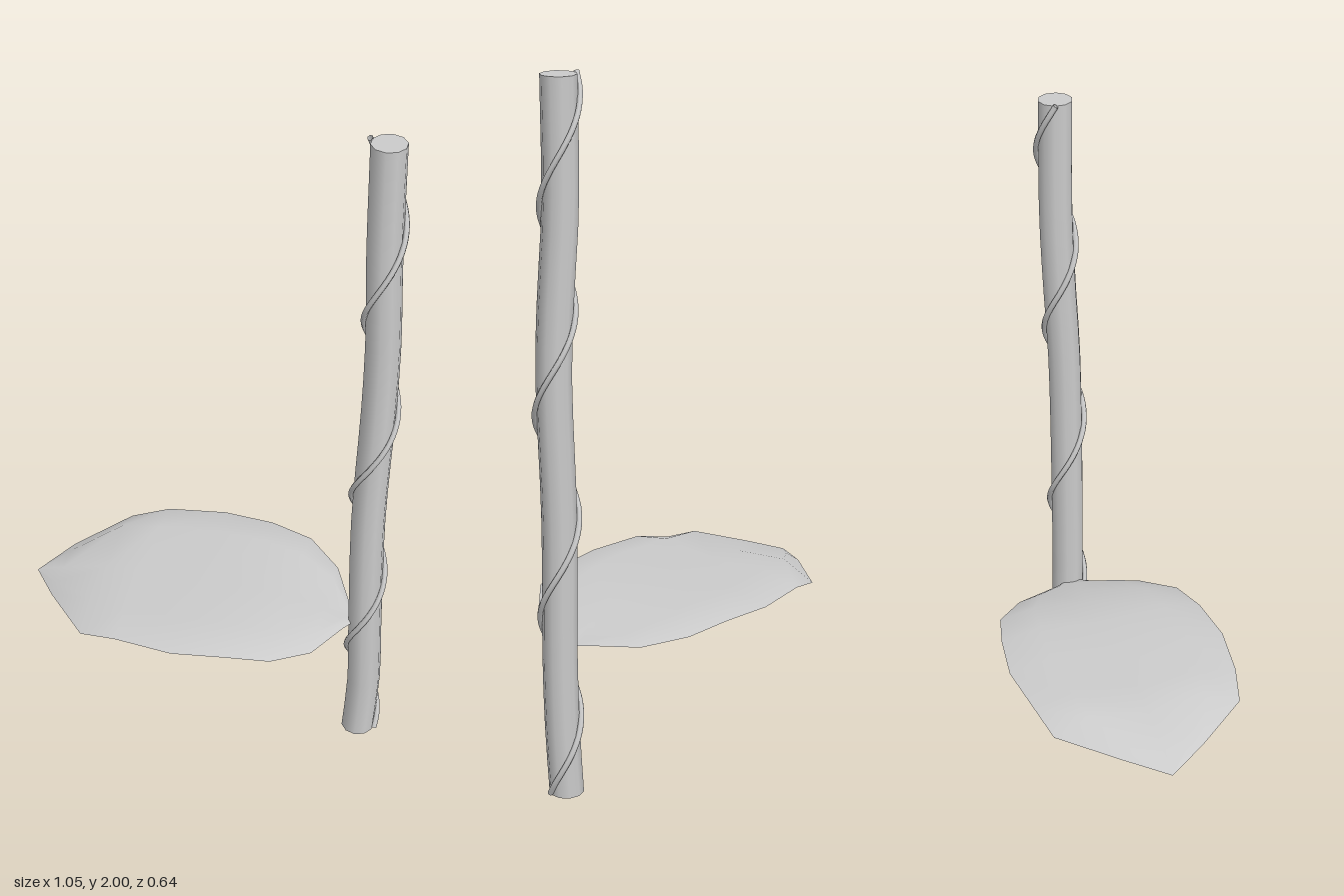
import * as THREE from 'three';

// Gently wandering centre line of the stem
const spine = new THREE.CatmullRomCurve3([
  [0.457, 0, -0.014], [0.468, 0.2, -0.012], [0.464, 0.4, -0.004], [0.457, 0.8, -0.003],
  [0.469, 1.2, -0.003], [0.469, 1.4, -0.013], [0.458, 1.65, -0.025], [0.454, 2, -0.023],
].map((p) => new THREE.Vector3(...p)));
const samples = spine.getPoints(160);

// Centre of the stem at height y
function centreAt(y) {
  let i = samples.findIndex((p) => p.y >= y);
  if (i < 0) i = samples.length - 1;
  if (i === 0) return samples[0].clone().setY(y);
  const a = samples[i - 1], b = samples[i];
  return a.clone().lerp(b, Math.min(1, (y - a.y) / (b.y - a.y))).setY(y);
}

function makeStem(material) {
  const height = 1.99;
  const geo = new THREE.CylinderGeometry(0.048, 0.048, height, 10, 20);
  geo.translate(0, height / 2, 0);
  const pos = geo.attributes.position;
  for (let i = 0; i < pos.count; i++) {
    const c = centreAt(pos.getY(i));
    pos.setX(i, pos.getX(i) + c.x);
    pos.setZ(i, pos.getZ(i) + c.z);
  }
  geo.computeVertexNormals();
  // Round the side normals over the seam and keep the caps flat
  const nor = geo.attributes.normal;
  for (let i = 0; i < 11 * 21; i++) {
    const c = centreAt(pos.getY(i));
    const n = new THREE.Vector3(pos.getX(i) - c.x, 0, pos.getZ(i) - c.z).normalize();
    nor.setXYZ(i, n.x, n.y, n.z);
  }
  const mesh = new THREE.Mesh(geo, material);
  mesh.name = 'stem';
  return mesh;
}

// Thin tendril winding up around the stem
function makeVine(material) {
  const points = [];
  for (let i = 0; i <= 56; i++) {
    const y = 0.008 + (1.984 * i) / 56;
    const a = (-2 * Math.PI * (y - 0.03)) / 0.567;
    const p = centreAt(y);
    points.push(p.add(new THREE.Vector3(0.053 * Math.cos(a), 0, 0.053 * Math.sin(a))));
  }
  const path = new THREE.CatmullRomCurve3(points);
  const mesh = new THREE.Mesh(new THREE.TubeGeometry(path, 140, 0.008, 6, false), material);
  mesh.name = 'vine';
  return mesh;
}

// Leaf sheet from cross-sections: [x, half width, rib height, shoulder height, edge height]
function makeLeaf(material) {
  const sections = [
    [-0.525, 0.001, 0.412, 0.412, 0.412],
    [-0.445, 0.118, 0.438, 0.442, 0.432],
    [-0.31, 0.273, 0.472, 0.490, 0.445],
    [-0.2, 0.3, 0.478, 0.495, 0.473],
    [-0.03, 0.322, 0.482, 0.502, 0.476],
    [0.12, 0.305, 0.485, 0.505, 0.480],
    [0.245, 0.276, 0.474, 0.488, 0.467],
    [0.345, 0.19, 0.452, 0.462, 0.445],
    [0.41, 0.052, 0.434, 0.435, 0.432],
    [0.44, 0.005, 0.428, 0.428, 0.428],
  ];
  const positions = [], index = [];
  for (const [x, w, rib, shoulder, edge] of sections) {
    const heights = [edge, shoulder, rib, shoulder, edge];
    [-1, -0.62, 0, 0.62, 1].forEach((t, j) => positions.push(x, heights[j], t * w));
  }
  for (let i = 0; i < sections.length - 1; i++) {
    for (let j = 0; j < 4; j++) {
      const a = i * 5 + j, b = a + 5;
      index.push(a, a + 1, b, a + 1, b + 1, b);
    }
  }
  const geo = new THREE.BufferGeometry();
  geo.setAttribute('position', new THREE.Float32BufferAttribute(positions, 3));
  geo.setIndex(index);
  geo.computeVertexNormals();
  const mesh = new THREE.Mesh(geo, material);
  mesh.name = 'leaf';
  return mesh;
}

export function createModel() {
  const grey = new THREE.MeshStandardMaterial({ color: 0xcccccc });
  const sheet = new THREE.MeshStandardMaterial({ color: 0xcccccc, side: THREE.DoubleSide });
  const model = new THREE.Group();
  model.name = 'leafyStem';
  model.add(makeStem(grey), makeVine(sheet), makeLeaf(sheet));
  return model;
}
